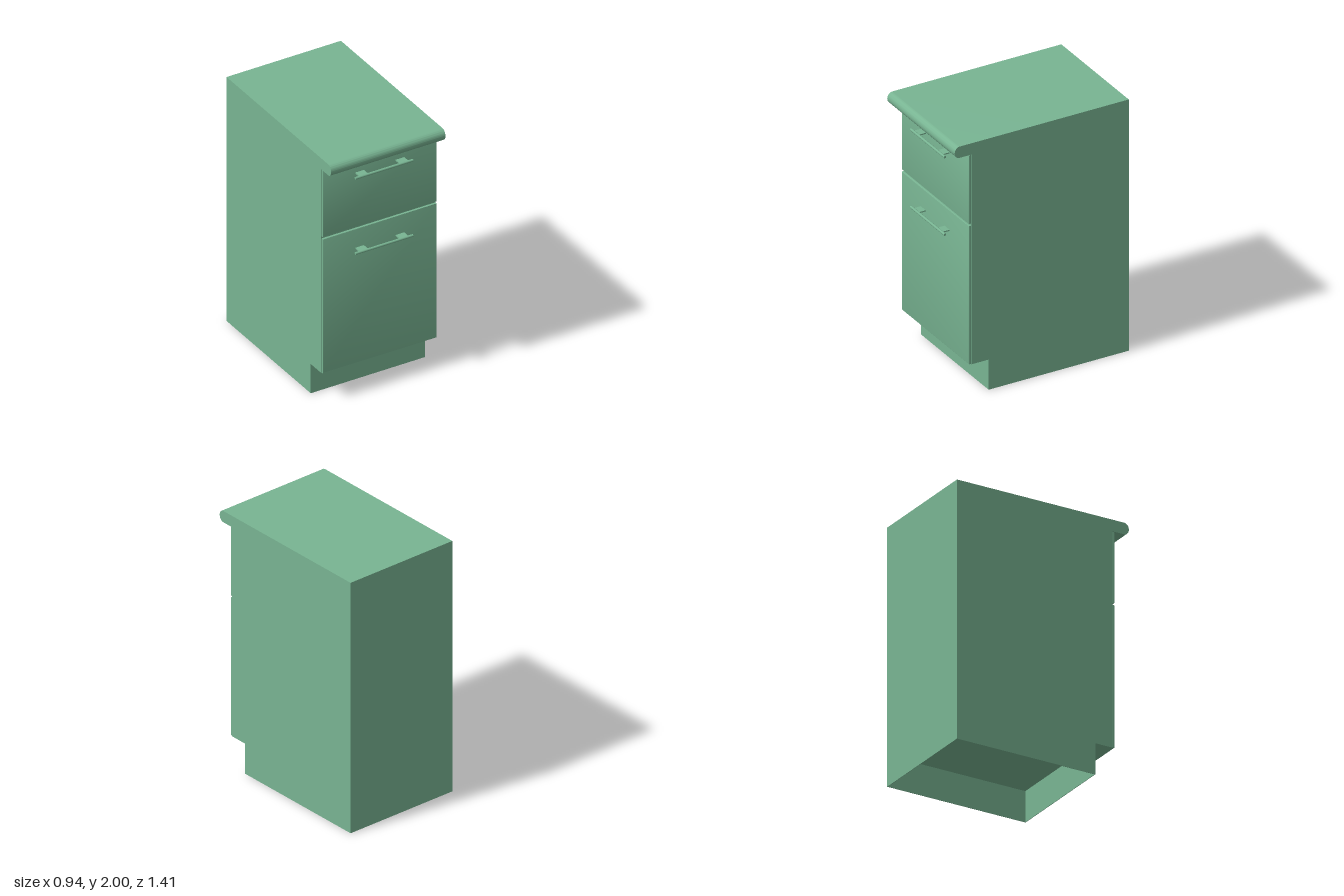
import * as THREE from 'three';
import { toCreasedNormals } from 'three/addons/utils/BufferGeometryUtils.js';

const W = 0.936, BACK = -0.705, FRONT = 0.57, BASE = 0.24, TOP = 1.91;
const material = new THREE.MeshStandardMaterial({ color: 0x78b492, side: THREE.DoubleSide });

function mesh(name, geometry, x = 0, y = 0, z = 0) {
  const m = new THREE.Mesh(geometry, material);
  m.name = name;
  m.position.set(x, y, z);
  return m;
}

function rectangle(Type, w, h) {
  const s = new Type();
  s.moveTo(-w / 2, -h / 2).lineTo(w / 2, -h / 2).lineTo(w / 2, h / 2).lineTo(-w / 2, h / 2).closePath();
  return s;
}

// Front panel with a small bevel around its edge
function panel(name, y0, y1) {
  const b = 0.007, d = 0.022;
  const geometry = new THREE.ExtrudeGeometry(rectangle(THREE.Shape, W - 0.004 - 2 * b, y1 - y0 - 2 * b), {
    depth: d - 2 * b, bevelSize: b, bevelThickness: b, bevelSegments: 2,
  });
  return mesh(name, toCreasedNormals(geometry, 0.6), 0, (y0 + y1) / 2, FRONT - 0.002 + b);
}

// Round bar carried by two flat brackets
function handle(name, y) {
  const g = new THREE.Group();
  g.name = name;
  const bar = new THREE.CylinderGeometry(0.01, 0.01, 0.47, 16).rotateZ(Math.PI / 2);
  g.add(mesh('handleBar', bar, 0, 0, 0.648));
  for (const side of [-1, 1]) {
    g.add(mesh('handleBracket', new THREE.BoxGeometry(0.07, 0.009, 0.062), side * 0.165, 0.002, 0.617));
  }
  g.position.y = y;
  return g;
}

// Worktop with a rounded front nose, drawn as a side profile
function worktop() {
  const s = new THREE.Shape();
  const h = 2 - TOP;
  s.moveTo(BACK, TOP);
  s.lineTo(0.67, TOP);
  s.absellipse(0.665, TOP + h / 2, 0.04, h / 2, -Math.PI / 2, Math.PI / 2, false, 0);
  s.lineTo(BACK, 2);
  s.closePath();
  const geometry = new THREE.ExtrudeGeometry(s, { depth: W, bevelEnabled: false, curveSegments: 20 });
  geometry.translate(0, 0, -W / 2).rotateY(-Math.PI / 2);
  return mesh('worktop', toCreasedNormals(geometry, 0.6));
}

// Recessed base: thin walls, open underneath
function plinth() {
  const depth = 0.43 - BACK, t = 0.004;
  const s = rectangle(THREE.Shape, W, depth);
  s.holes.push(rectangle(THREE.Path, W - 2 * t, depth - 2 * t));
  const geometry = new THREE.ExtrudeGeometry(s, { depth: BASE, bevelEnabled: false });
  geometry.rotateX(-Math.PI / 2);
  return mesh('plinth', geometry, 0, 0, (0.43 + BACK) / 2);
}

export function createModel() {
  const model = new THREE.Group();
  model.name = 'kitchenCabinet';
  model.add(
    mesh('carcass', new THREE.BoxGeometry(W, TOP - BASE, FRONT - BACK), 0, (TOP + BASE) / 2, (FRONT + BACK) / 2),
    plinth(),
    worktop(),
    panel('door', 0.243, 1.344),
    panel('drawerFront', 1.359, 1.907),
    handle('doorHandle', 1.185),
    handle('drawerHandle', 1.802),
  );
  return model;
}
